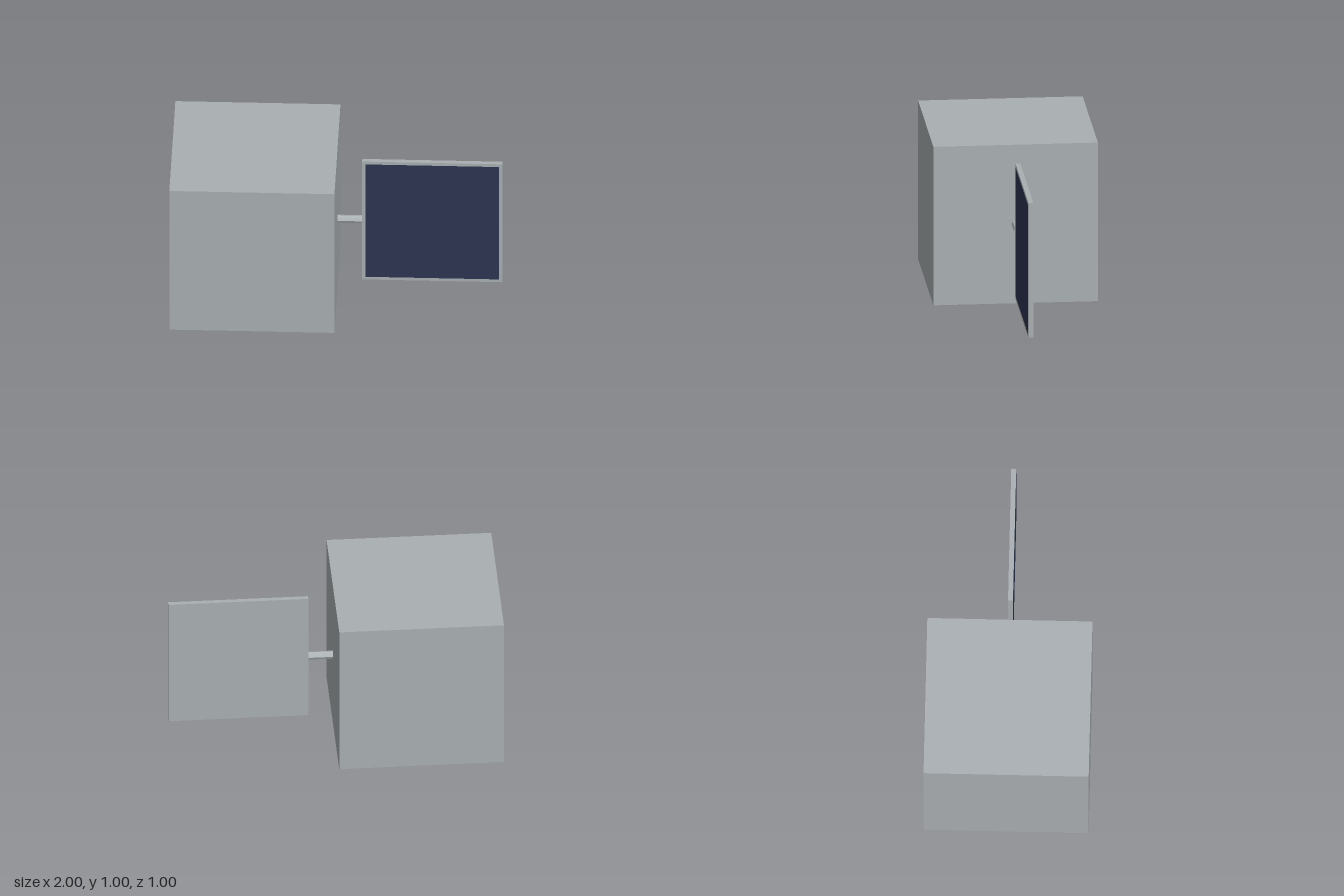
import * as THREE from 'three';

export function createModel() {
  const model = new THREE.Group();
  const material = (name, color) => {
    const m = new THREE.MeshStandardMaterial({ color, flatShading: true });
    m.name = name;
    return m;
  };
  const grey = material('grey metal', 0xa9afb2);
  const navy = material('navy cells', 0x2c3450);

  const add = (name, geometry, mat, x, y, z) => {
    const mesh = new THREE.Mesh(geometry, mat);
    mesh.name = name;
    mesh.position.set(x, y, z);
    model.add(mesh);
    return mesh;
  };

  // Cubic main body
  add('body', new THREE.BoxGeometry(1, 1, 1), grey, -0.5, 0.5, 0);

  // Eight-sided arm joining the body to the panel
  const arm = add('arm', new THREE.CylinderGeometry(0.025, 0.025, 0.15, 8), grey, 0.075, 0.5, 0);
  arm.rotation.z = Math.PI / 2;

  // Square panel with a dark face on its front, leaving a narrow border
  add('panel', new THREE.BoxGeometry(0.85, 0.85, 0.03), grey, 0.575, 0.5, 0);
  add('panelFace', new THREE.BoxGeometry(0.81, 0.81, 0.002), navy, 0.575, 0.5, 0.015);

  return model;
}
